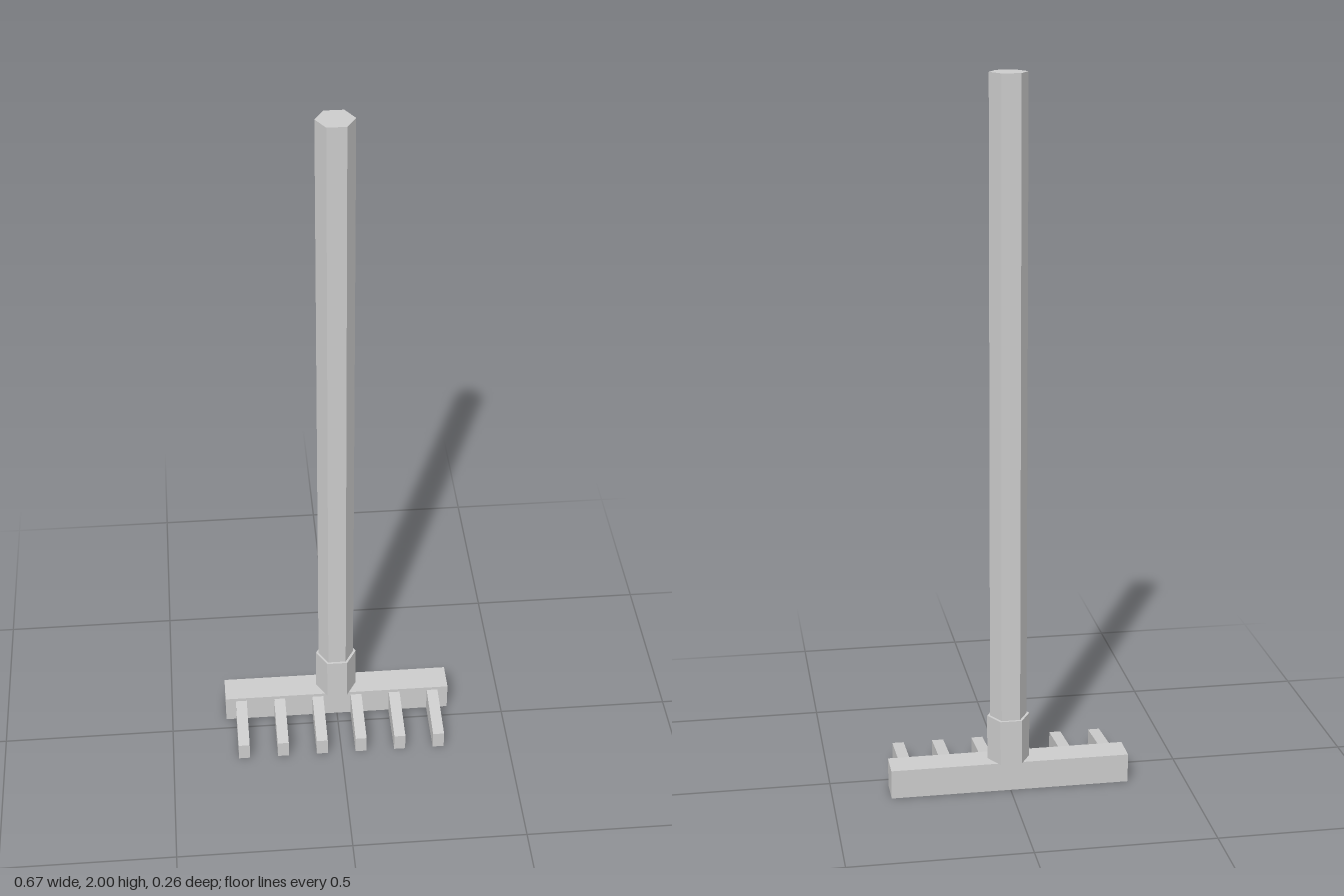
import * as THREE from 'three';

export function createModel() {
  const rake = new THREE.Group();
  rake.name = 'rake';
  const grey = new THREE.MeshStandardMaterial({ color: 0xcccccc });
  grey.name = 'plain grey';
  const poleZ = -0.08;

  const add = (name, geometry, x, y, z) => {
    const mesh = new THREE.Mesh(geometry, grey);
    mesh.name = name;
    mesh.position.set(x, y, z);
    rake.add(mesh);
  };

  // Upright hexagonal prism with flat sides facing front and back
  const hexPrism = (radius, height) => {
    const g = new THREE.CylinderGeometry(radius, radius, height, 6, 1, false, Math.PI / 6).toNonIndexed();
    g.computeVertexNormals();
    return g;
  };

  // Pole and the socket that holds it
  const headTop = 0.083, socketTop = 0.213;
  add('handle', hexPrism(0.052, 2 - headTop), 0, (2 + headTop) / 2, poleZ);
  add('socket', hexPrism(0.06, socketTop - headTop), 0, (socketTop + headTop) / 2, poleZ);

  // Cross bar
  add('headBar', new THREE.BoxGeometry(0.674, headTop, 0.085), 0, headTop / 2, poleZ);

  // Tines: side profile (z, y) tapering to the front, extruded across the width
  const width = 0.033;
  const profile = new THREE.Shape([
    new THREE.Vector2(-0.04, 0),
    new THREE.Vector2(0.13, 0),
    new THREE.Vector2(0.13, 0.052),
    new THREE.Vector2(-0.04, 0.073),
  ]);
  const tine = new THREE.ExtrudeGeometry(profile, { depth: width, bevelEnabled: false });
  tine.rotateY(-Math.PI / 2);
  tine.translate(width / 2, 0, 0);
  for (let i = 0; i < 6; i++) add('tine' + (i + 1), tine, (i - 2.5) * 0.116, 0, 0);

  return rake;
}
